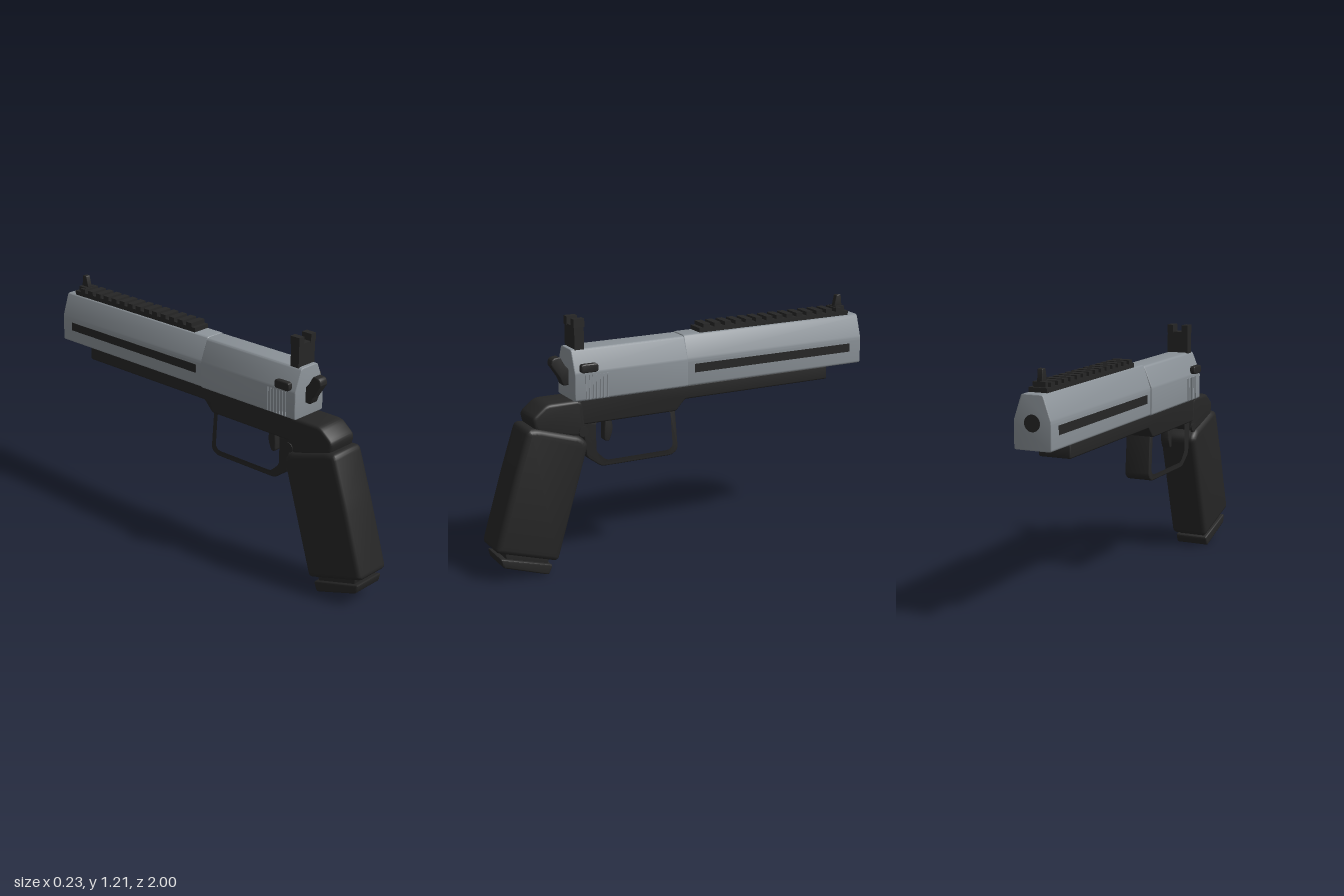
import * as THREE from 'three';
import { toCreasedNormals } from 'three/addons/utils/BufferGeometryUtils.js';

const steel = new THREE.MeshStandardMaterial({ color: 0x8a9197 });
steel.name = 'steel grey';
const black = new THREE.MeshStandardMaterial({ color: 0x262626 });
black.name = 'matte black';

// Closed outline with every corner rounded by r
function outline(points, r, target = new THREE.Shape()) {
  const pts = points.map(([a, b]) => new THREE.Vector2(a, b));
  pts.forEach((p, i) => {
    const prev = pts[(i + pts.length - 1) % pts.length];
    const next = pts[(i + 1) % pts.length];
    const toward = (q) => {
      const d = p.distanceTo(q);
      return p.clone().lerp(q, Math.min(r, d * 0.45) / d);
    };
    const a = toward(prev), b = toward(next);
    if (i === 0) target.moveTo(a.x, a.y);
    else target.lineTo(a.x, a.y);
    target.quadraticCurveTo(p.x, p.y, b.x, b.y);
  });
  target.closePath();
  return target;
}

function extrude(shape, depth, bevel) {
  const geo = new THREE.ExtrudeGeometry(shape, {
    depth: depth - 2 * bevel, curveSegments: 4,
    bevelEnabled: bevel > 0, bevelThickness: bevel, bevelSize: bevel,
    bevelOffset: -bevel, bevelSegments: 3,
  });
  return geo.translate(0, 0, -depth / 2 + bevel);
}

export function createModel() {
  const group = new THREE.Group();

  function add(name, geo, material, x = 0, y = 0, z = 0) {
    const mesh = new THREE.Mesh(geo, material);
    mesh.name = name;
    mesh.position.set(x, y, z);
    group.add(mesh);
    return mesh;
  }

  // Part given by its side outline in (z, y), centred across x
  function sidePart(name, points, width, { r = 0.012, bevel = 0.008, hole } = {}) {
    const shape = outline(points, r);
    if (hole) shape.holes.push(outline(hole, r, new THREE.Path()));
    const geo = extrude(shape, width, bevel).rotateY(-Math.PI / 2);
    return add(name, toCreasedNormals(geo, 0.6), black);
  }

  // Part given by its cross-section in (x, y), running from z0 to z1
  function slidePart(name, half, shoulder, top, topHalf, z0, z1) {
    const section = outline([
      [-half, 0.83], [half, 0.83], [half, shoulder],
      [topHalf, top], [-topHalf, top], [-half, shoulder],
    ], 0.012);
    const geo = extrude(section, z1 - z0, 0.004);
    add(name, toCreasedNormals(geo, 0.6), steel, 0, 0, (z0 + z1) / 2);
  }

  const box = (name, material, w, h, d, x, y, z) =>
    add(name, new THREE.BoxGeometry(w, h, d), material, x, y, z);

  // Slide in two sections
  slidePart('rearSlide', 0.098, 0.965, 1.07, 0.055, 0, 0.59);
  slidePart('frontSlide', 0.091, 0.96, 1.075, 0.052, -0.997, 0.002);

  // Muzzle opening
  const bore = new THREE.CylinderGeometry(0.038, 0.038, 0.008, 32).rotateX(Math.PI / 2);
  add('muzzleBore', bore, black, 0, 0.95, -0.996);

  // Details on both sides of the slide
  for (const s of [-1, 1]) {
    box('sideSlot', black, 0.006, 0.042, 0.89, s * 0.09, 0.916, -0.485);
    const lever = extrude(outline([
      [0.477, 0.967], [0.565, 0.967], [0.565, 1.008], [0.477, 1.008],
    ], 0.015), 0.026, 0.005).rotateY(-Math.PI / 2);
    add('safetyLever', toCreasedNormals(lever, 0.6), black, s * 0.102, 0, 0);
    for (let i = 0; i < 7; i++) {
      box('gripRib', steel, 0.008, 0.115, 0.007, s * 0.098, 0.895, 0.425 + i * 0.018);
    }
    const pin = new THREE.CylinderGeometry(0.024, 0.024, 0.012, 20).rotateZ(Math.PI / 2);
    add('framePin', pin, black, s * 0.08, 0.68, 0.545);
  }

  // Top rail with cross teeth
  box('railBase', black, 0.09, 0.024, 0.855, 0, 1.084, -0.518);
  for (let i = 0; i < 14; i++) {
    box('railTooth', black, 0.09, 0.022, 0.035, 0, 1.104, -0.13 - i * 0.0585);
  }

  // Front sight
  box('frontSightBase', black, 0.06, 0.025, 0.05, 0, 1.107, -0.907);
  sidePart('frontSight', [
    [-0.882, 1.11], [-0.93, 1.11], [-0.922, 1.175], [-0.897, 1.175],
  ], 0.026, { r: 0.006, bevel: 0.003 });

  // Rear sight with a notch between two posts
  box('rearSightBase', black, 0.11, 0.115, 0.048, 0, 1.118, 0.546);
  for (const s of [-1, 1]) {
    box('rearSightPost', black, 0.032, 0.04, 0.054, s * 0.04, 1.19, 0.546);
  }

  // Hammer
  sidePart('hammer', [
    [0.57, 0.9], [0.615, 0.893], [0.63, 0.93], [0.677, 1.0],
    [0.667, 1.028], [0.63, 1.034], [0.605, 0.99], [0.57, 0.95],
  ], 0.05, { r: 0.01, bevel: 0.005 });

  // Frame, from the tail over the hand to the end below the barrel
  sidePart('frame', [
    [0.58, 0.835], [-0.805, 0.835], [-0.805, 0.765], [0.005, 0.765],
    [0.055, 0.712], [0.55, 0.712],
  ], 0.16, { r: 0.01 });
  sidePart('frameTail', [
    [0.8, 0.772], [0.725, 0.832], [0.545, 0.832], [0.53, 0.69],
    [0.57, 0.655], [0.78, 0.7],
  ], 0.165, { r: 0.025, bevel: 0.015 });

  // Trigger guard and trigger
  sidePart('triggerGuard', [
    [0.545, 0.735], [0.522, 0.545], [0.445, 0.49], [0.07, 0.49],
    [0.037, 0.515], [0.055, 0.735],
  ], 0.13, {
    r: 0.02, bevel: 0.005,
    hole: [[0.478, 0.716], [0.478, 0.565], [0.425, 0.514], [0.085, 0.514], [0.062, 0.535], [0.075, 0.716]],
  });
  sidePart('trigger', [
    [0.405, 0.73], [0.41, 0.65], [0.41, 0.6], [0.385, 0.593],
    [0.366, 0.64], [0.366, 0.68], [0.38, 0.73],
  ], 0.045, { r: 0.012, bevel: 0.006 });

  // Raked grip and magazine base
  sidePart('grip', [
    [0.825, 0.727], [0.9, 0.5], [1.003, 0.158], [0.69, 0.062],
    [0.522, 0.62], [0.56, 0.66], [0.78, 0.727],
  ], 0.196, { r: 0.025, bevel: 0.025 });
  sidePart('magazineNeck', [
    [0.95, 0.16], [0.945, 0.11], [0.74, 0.045], [0.72, 0.1],
  ], 0.14, { r: 0.005, bevel: 0.004 });
  sidePart('magazineBase', [
    [0.978, 0.125], [0.966, 0.078], [0.738, 0.002], [0.717, 0.05],
  ], 0.176, { r: 0.012, bevel: 0.008 });

  return group;
}
